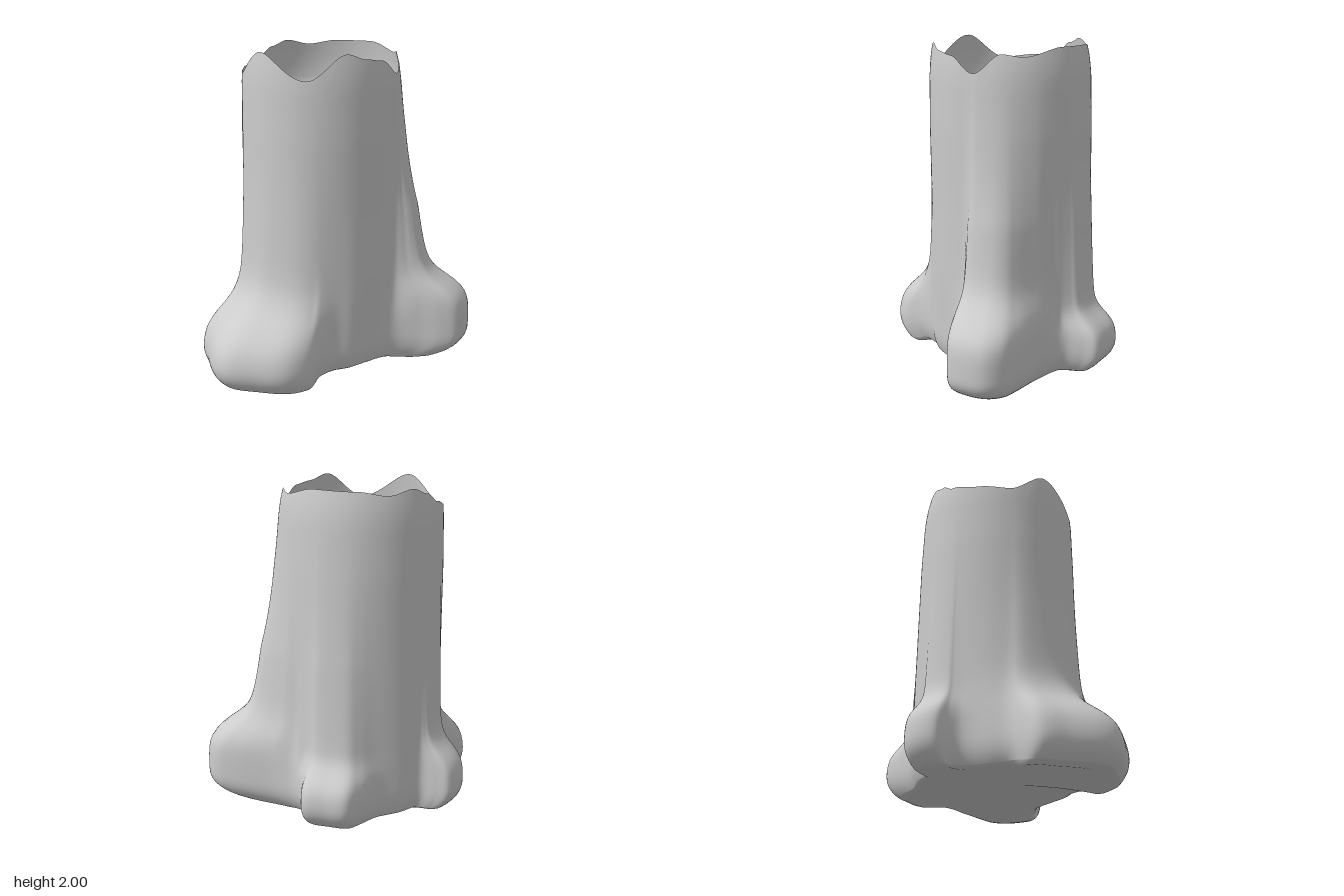
import * as THREE from 'three';

// Root kinds: [shoulder height, shoulder softness, bottom rounding, underside height, ridge up the trunk]
const KINDS = {
  valley: [0.42, 0.08, 0.15, 0.04, 0.2],
  front: [0.515, 0.045, 0.34, 0.025, 0.48],
  wide: [0.385, 0.065, 0.05, 0.0, 0.17],
  back: [0.415, 0.042, 0.3, 0.04, 0.18],
  small: [0.365, 0.035, 0.25, 0.04, 0.28],
};

// Ground outline of trunk and roots, as x, z pairs per stretch
const OUTLINE = [
  ['valley', [0.66, 0.05]],
  ['front', [0.68, 0.18, 0.76, 0.42, 0.785, 0.56, 0.73, 0.67, 0.53, 0.74, 0.44, 0.68, 0.34, 0.56]],
  ['valley', [0.22, 0.46, 0.05, 0.42, -0.1, 0.4, -0.2, 0.36, -0.33, 0.365]],
  ['wide', [-0.47, 0.39, -0.61, 0.34, -0.735, 0.18, -0.82, 0.03, -0.815, -0.08, -0.72, -0.26, -0.62, -0.41]],
  ['valley', [-0.4, -0.4, -0.28, -0.45]],
  ['back', [-0.14, -0.53, -0.11, -0.6, -0.1, -0.69, -0.01, -0.74, 0.12, -0.73, 0.15, -0.65, 0.18, -0.56]],
  ['valley', [0.3, -0.52]],
  ['small', [0.45, -0.44, 0.6, -0.425, 0.72, -0.4, 0.775, -0.28, 0.81, -0.15, 0.74, -0.09, 0.67, -0.02]],
];

// Ragged rim: angle in degrees, height
const RIM = [
  [0, 2], [30, 1.955], [45, 1.97], [65, 1.86], [85, 1.95], [100, 1.965], [115, 2], [145, 1.85], [184, 2],
  [215, 1.85], [240, 1.87], [260, 1.91], [273, 1.965], [287, 2], [306, 1.97], [328, 1.995], [360, 2],
];

// Trunk: height, radius, centre x
const TRUNK = [[0, 0.5, 0.09], [0.6, 0.495, 0.1], [1, 0.492, 0.1], [1.5, 0.494, 0.092], [1.8, 0.488, 0.087], [1.9, 0.48, 0.085], [2, 0.463, 0.08]];
const CX = 0.08, CZ = -0.06, FLOOR = 1.68, SEGMENTS = 222;

// Blended lookup in a sorted table
function lookup(table, x, column, smooth) {
  let i = 0;
  while (i < table.length - 2 && x > table[i + 1][0]) i++;
  const a = table[i], b = table[i + 1];
  let t = THREE.MathUtils.clamp((x - a[0]) / (b[0] - a[0]), 0, 1);
  if (smooth) t = t * t * (3 - 2 * t);
  return a[column] + (b[column] - a[column]) * t;
}

// Skin a list of closed rings
function skin(rings, name, material) {
  const n = rings[0].length, index = [];
  for (let j = 0; j < rings.length - 1; j++) {
    for (let i = 0; i < n; i++) {
      const a = j * n + i, b = j * n + (i + 1) % n;
      index.push(a, a + n, b, b, a + n, b + n);
    }
  }
  const geometry = new THREE.BufferGeometry();
  geometry.setAttribute('position', new THREE.Float32BufferAttribute(rings.flat(2), 3));
  geometry.setIndex(index);
  geometry.computeVertexNormals();
  const mesh = new THREE.Mesh(geometry, material);
  mesh.name = name;
  return mesh;
}

export function createModel() {
  const shape = [], traits = [];
  for (const [kind, points] of OUTLINE) {
    for (let i = 0; i < points.length; i += 2) {
      shape.push(new THREE.Vector3(points[i], 0, points[i + 1]));
      traits.push(KINDS[kind]);
    }
  }
  const outline = new THREE.CatmullRomCurve3(shape, true);

  // One column of data per direction around the trunk
  const columns = Array.from({ length: SEGMENTS }, (_, i) => {
    const p = outline.getPoint(i / SEGMENTS);
    const at = (i / SEGMENTS) * traits.length, k = Math.floor(at);
    const next = traits[(k + 1) % traits.length], blend = THREE.MathUtils.smoothstep(at - k, 0, 1);
    const [shoulder, softness, rounding, bottom, ridge] = traits[k].map((v, m) => v + (next[m] - v) * blend);
    const angle = Math.atan2(p.z - CZ, p.x - CX);
    const degrees = (THREE.MathUtils.radToDeg(angle) + 360) % 360;
    return { p, angle, shoulder, softness, rounding, bottom, ridge, rim: lookup(RIM, degrees, 1, true) };
  });

  // Surface point of a column at height y: trunk blended out into the root
  const surface = (c, y) => {
    const radius = lookup(TRUNK, y, 1), cx = lookup(TRUNK, y, 2);
    const tx = cx + radius * Math.cos(c.angle), tz = CZ + radius * Math.sin(c.angle);
    const root = 1 / (1 + Math.exp((y - c.shoulder) / c.softness));
    const tail = c.ridge * Math.exp(-1.2 * Math.max(0, y - 0.5)) * Math.min(1, 2 - y);
    const low = Math.pow(1 - Math.min(1, (y - c.bottom) / 0.2), 3);
    const w = (root + (1 - root) * tail) * (1 - c.rounding * low);
    const scale = 1 - 0.08 * low;
    return [CX + (tx + (c.p.x - tx) * w - CX) * scale, y, CZ + (tz + (c.p.z - tz) * w - CZ) * scale];
  };
  const inward = ([x, , z], f, y) => [CX + (x - CX) * f, y, CZ + (z - CZ) * f];

  // Underside, slightly arched, then the outer bark up to the rim
  const outer = [];
  for (const f of [0.001, 0.2, 0.4, 0.6, 0.75, 0.86, 0.93, 0.97]) {
    outer.push(columns.map((c) => inward(surface(c, c.bottom), f, THREE.MathUtils.lerp(0.07, c.bottom, Math.min(1, f * f * 1.15)))));
  }
  const ROWS = 52;
  for (let j = 0; j <= ROWS; j++) {
    const v = Math.pow(j / ROWS, 1.6);
    outer.push(columns.map((c) => surface(c, THREE.MathUtils.lerp(c.bottom + 0.012, c.rim, v))));
  }

  // Hollow top: thin wall following the bark down to a shallow floor
  const inner = [[1, 0], [0.995, 0.25], [0.99, 0.5], [0.98, 0.75], [0.96, 0.9], [0.92, 0.96], [0.8, 0.985], [0.5, 1], [0.001, 1]]
    .map(([f, drop]) => columns.map((c) => {
      const y = THREE.MathUtils.lerp(c.rim, FLOOR, drop);
      return inward(surface(c, y), f, y);
    }));

  const material = new THREE.MeshStandardMaterial({ color: 0xcccccc, side: THREE.DoubleSide });
  const group = new THREE.Group();
  group.name = 'treeStump';
  group.add(skin(outer, 'trunkAndRoots', material), skin(inner, 'hollowTop', material));
  return group;
}
